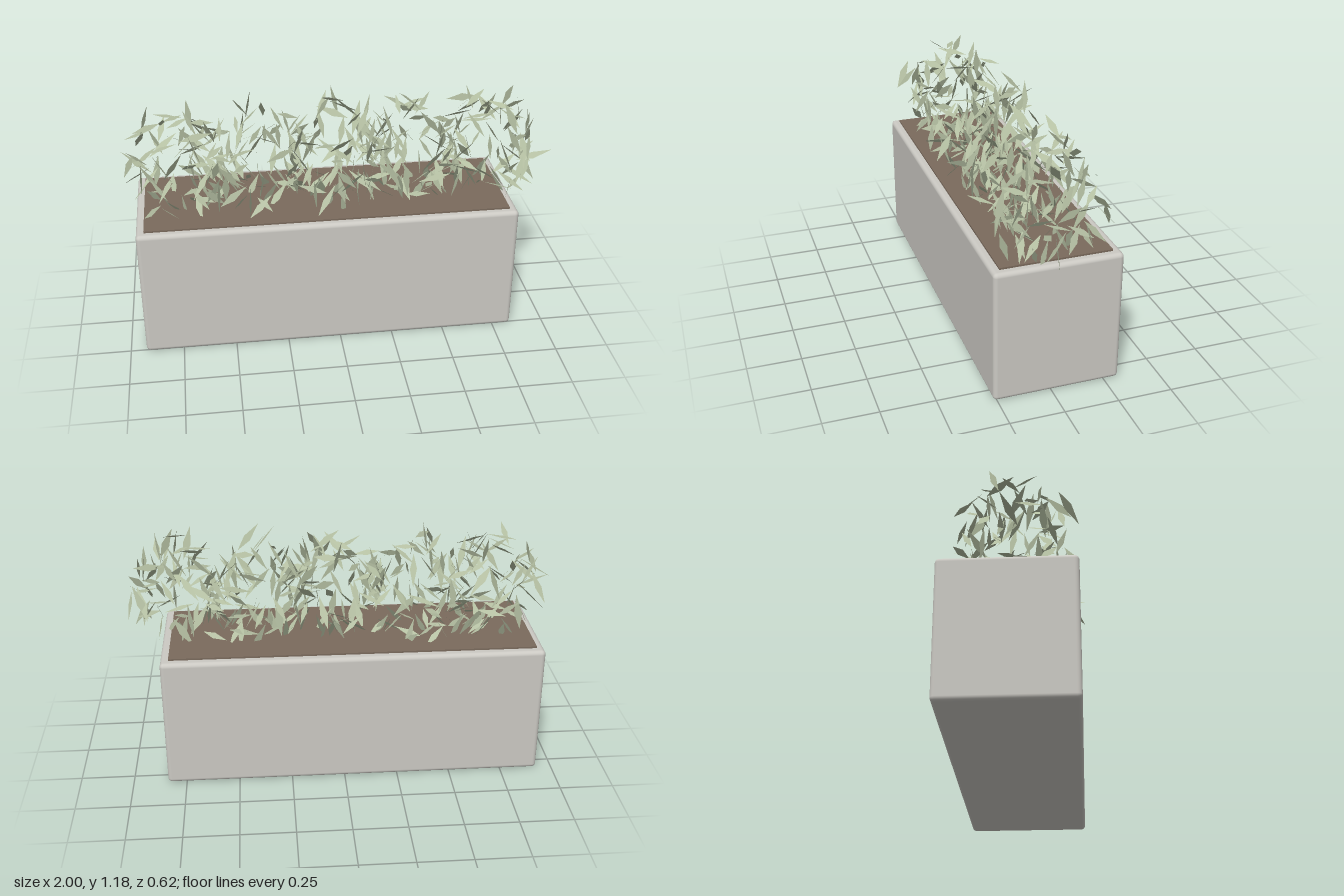
import * as THREE from 'three';
import { RoundedBoxGeometry } from 'three/addons/geometries/RoundedBoxGeometry.js';
import { mergeGeometries } from 'three/addons/utils/BufferGeometryUtils.js';

// Small seeded generator so the foliage is always the same
function seeded(seed) {
  return () => {
    seed = (seed * 1664525 + 1013904223) % 4294967296;
    return seed / 4294967296;
  };
}

// Flat pointed leaf along y, facing +z
function leafGeometry() {
  const shape = new THREE.Shape([[0, -0.075], [0.017, -0.005], [0, 0.08], [-0.017, -0.005]]
    .map(([x, y]) => new THREE.Vector2(x, y)));
  return new THREE.ShapeGeometry(shape);
}

// Leaves scattered over a loosely hollow ball, kept only above the soil
function bush(center, radius, count, rand) {
  const leaf = leafGeometry();
  const leaves = [];
  const dir = new THREE.Vector3();
  const along = new THREE.Vector3();
  const side = new THREE.Vector3();
  const face = new THREE.Vector3();
  const jitter = () => new THREE.Vector3(rand() - 0.5, rand() - 0.5, rand() - 0.5).normalize();
  while (leaves.length < count) {
    const h = rand() * 2 - 1;
    const a = rand() * Math.PI * 2;
    const s = Math.sqrt(1 - h * h);
    dir.set(s * Math.cos(a), h, s * Math.sin(a));
    const pos = dir.clone().multiplyScalar(radius * (0.68 + 0.4 * rand())).add(center);
    if (pos.y < 0.64) continue;
    // Leaves point steeply up or down, with faces turned a little skyward
    along.copy(jitter());
    along.y *= 1.6;
    along.normalize();
    face.copy(jitter());
    face.y = Math.abs(face.y) + 0.35;
    side.crossVectors(along, face).normalize();
    face.crossVectors(side, along);
    const size = 0.75 + 0.4 * rand();
    const m = new THREE.Matrix4().makeBasis(side, along, face);
    m.scale(new THREE.Vector3(size, size, size)).setPosition(pos);
    leaves.push(leaf.clone().applyMatrix4(m));
  }
  return mergeGeometries(leaves);
}

export function createModel() {
  const model = new THREE.Group();
  model.name = 'planter';
  const add = (name, geometry, material, x = 0, y = 0, z = 0) => {
    const mesh = new THREE.Mesh(geometry, material);
    mesh.name = name;
    mesh.position.set(x, y, z);
    model.add(mesh);
  };

  const stone = new THREE.MeshStandardMaterial({ color: 0xcbc9c3 });
  const earth = new THREE.MeshStandardMaterial({ color: 0x7a6a5c });
  const green = new THREE.MeshStandardMaterial({ color: 0xb4bfa2, side: THREE.DoubleSide });

  // Trough and soil
  add('trough', new RoundedBoxGeometry(1.764, 0.63, 0.586, 3, 0.02), stone, -0.044, 0.315, -0.027);
  add('soil', new THREE.BoxGeometry(1.69, 0.04, 0.51), earth, -0.045, 0.618, -0.025);

  // Overlapping row of five bushes
  const rand = seeded(17);
  for (let i = 0; i < 5; i++) {
    const center = new THREE.Vector3(-0.71 + i * 0.36, 0.845, -0.01);
    add('bush' + (i + 1), bush(center, 0.245, 90, rand), green);
  }
  return model;
}
